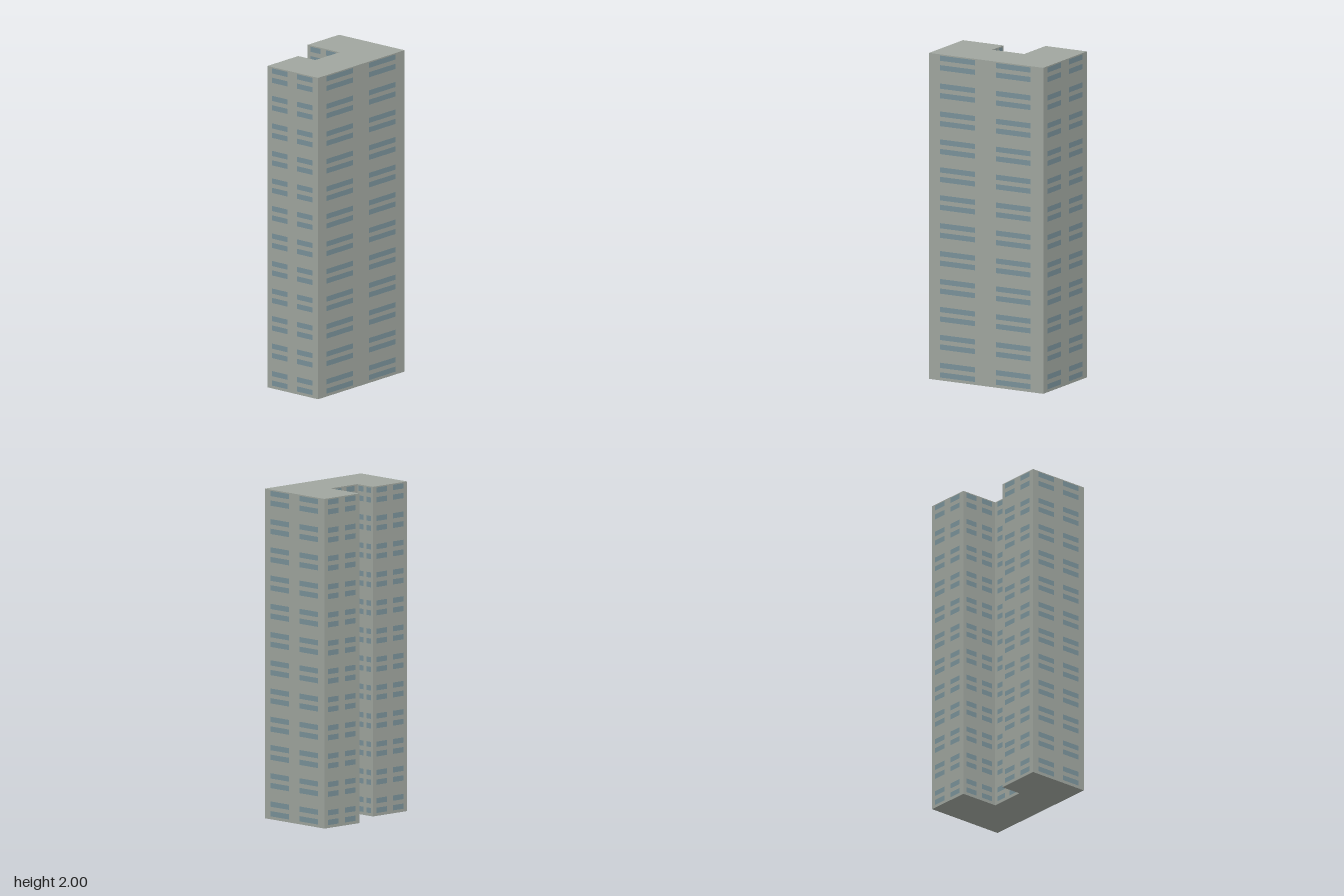
import * as THREE from 'three';
import { mergeGeometries } from 'three/addons/utils/BufferGeometryUtils.js';

const HEIGHT = 2;
const FLOORS = 12;
const FLOOR_PITCH = 0.1713;
const BAND_CENTRES = [0.034, 0.0925]; // two window strips per floor
const BAND_HEIGHT = 0.032;
const COLUMNS = [[0.097, 0.403], [0.587, 0.891]]; // spans along each wall
const OFFSET = 0.0015;

// Footprint corners as [x, z], running left to right along each wall seen from outside
const FOOTPRINT = [
  [-0.418, 0.2], [0.373, 0.268], [0.416, -0.246], [0.13, -0.271],
  [0.108, -0.021], [-0.114, -0.04], [-0.102, -0.174], [-0.384, -0.198],
];

// All window strips of the wall between two corners, as one geometry
function wallWindows([ax, az], [bx, bz]) {
  const dx = bx - ax, dz = bz - az;
  const length = Math.hypot(dx, dz);
  const nx = -dz / length, nz = dx / length;
  const strips = [];
  for (const [start, end] of COLUMNS) {
    const mid = (start + end) / 2;
    for (let floor = 0; floor < FLOORS; floor++) {
      for (const centre of BAND_CENTRES) {
        const strip = new THREE.PlaneGeometry((end - start) * length, BAND_HEIGHT);
        strip.rotateY(Math.atan2(nx, nz));
        strip.translate(
          ax + dx * mid + nx * OFFSET,
          centre + floor * FLOOR_PITCH,
          az + dz * mid + nz * OFFSET,
        );
        strips.push(strip);
      }
    }
  }
  return mergeGeometries(strips);
}

export function createModel() {
  const model = new THREE.Group();
  model.name = 'towerBlock';

  const concrete = new THREE.MeshStandardMaterial({ color: 0xa0a69f });
  concrete.name = 'concrete';
  const glass = new THREE.MeshStandardMaterial({ color: 0x7a929a });
  glass.name = 'glass';

  // Tower body: notched footprint raised to full height
  const shape = new THREE.Shape(FOOTPRINT.map(([x, z]) => new THREE.Vector2(x, -z)));
  const body = new THREE.ExtrudeGeometry(shape, { depth: HEIGHT, bevelEnabled: false });
  body.rotateX(-Math.PI / 2);
  const tower = new THREE.Mesh(body, concrete);
  tower.name = 'tower';
  model.add(tower);

  // Window strips on every wall
  const wallNames = ['front', 'left', 'backLeft', 'notchLeft', 'notchBack', 'notchRight', 'backRight', 'right'];
  FOOTPRINT.forEach((corner, i) => {
    const next = FOOTPRINT[(i + 1) % FOOTPRINT.length];
    const windows = new THREE.Mesh(wallWindows(corner, next), glass);
    windows.name = `${wallNames[i]}Windows`;
    model.add(windows);
  });

  return model;
}
